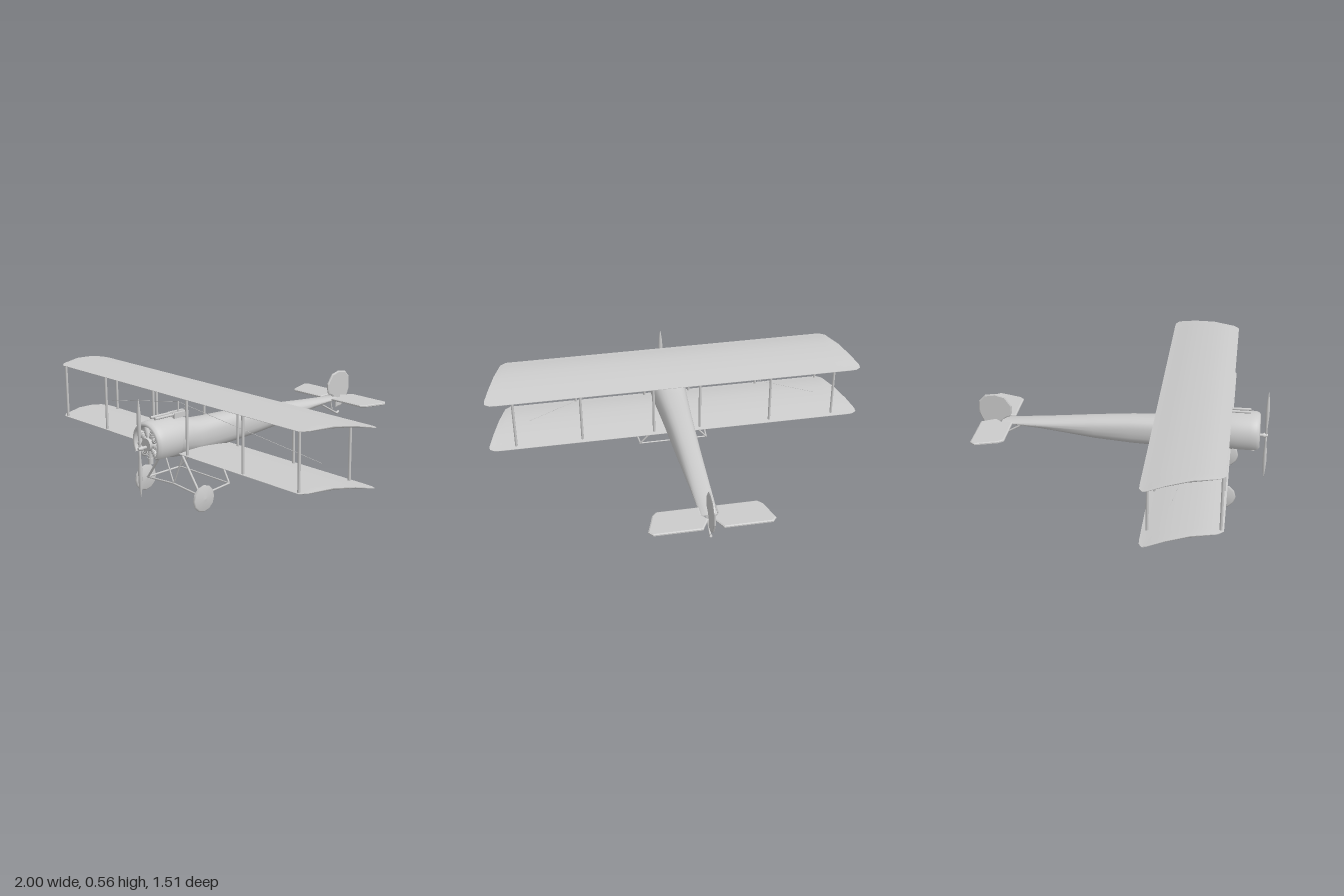
import * as THREE from 'three';
import { toCreasedNormals } from 'three/addons/utils/BufferGeometryUtils.js';

const grey = new THREE.MeshStandardMaterial({ color: 0xcccccc });
const greyThin = new THREE.MeshStandardMaterial({ color: 0xcccccc, side: THREE.DoubleSide });
const V = (x, y, z) => new THREE.Vector3(x, y, z);

export function createModel() {
  const model = new THREE.Group();
  model.name = 'biplane';

  function add(name, geometry, x = 0, y = 0, z = 0, material = grey) {
    const mesh = new THREE.Mesh(geometry, material);
    mesh.name = name;
    mesh.position.set(x, y, z);
    model.add(mesh);
    return mesh;
  }

  // Straight round bar between two points
  function rod(name, a, b, r = 0.006, sides = 8) {
    const dir = b.clone().sub(a);
    const mesh = add(name, new THREE.CylinderGeometry(r, r, dir.length(), sides));
    mesh.position.copy(a).add(b).multiplyScalar(0.5);
    mesh.quaternion.setFromUnitVectors(V(0, 1, 0), dir.normalize());
    return mesh;
  }

  // Skin over equal-sized closed rings, with end caps
  function loft(rings, crease = 0.9) {
    const n = rings[0].length, last = (rings.length - 1) * n, index = [];
    for (let i = 0; i < rings.length - 1; i++) {
      for (let j = 0; j < n; j++) {
        const a = i * n + j, b = i * n + (j + 1) % n;
        index.push(a, b, a + n, b, b + n, a + n);
      }
    }
    for (let j = 1; j < n - 1; j++) index.push(0, j + 1, j, last, last + j, last + j + 1);
    const g = new THREE.BufferGeometry().setFromPoints(rings.flat());
    g.setIndex(index);
    return toCreasedNormals(g, crease);
  }

  // Thin plate from an outline
  function plate(points, thickness) {
    const shape = new THREE.Shape(points.map(([x, y]) => new THREE.Vector2(x, y)));
    const g = new THREE.ExtrudeGeometry(shape, {
      depth: thickness / 2, bevelEnabled: true, bevelThickness: thickness / 4,
      bevelSize: 0.006, bevelOffset: -0.006, bevelSegments: 1,
    });
    return g.translate(0, 0, -thickness / 4);
  }

  // Fuselage: z, bottom, top, half width, flattening at each station
  const stations = [
    [-0.63, 0.313, 0.323, 0.042, 1], [-0.42, 0.291, 0.343, 0.05, 0.9],
    [-0.14, 0.253, 0.370, 0.06, 0.8], [0.05, 0.24, 0.384, 0.068, 0.75],
    [0.2, 0.235, 0.391, 0.075, 0.75], [0.34, 0.232, 0.395, 0.084, 0.75],
    [0.42, 0.23, 0.401, 0.09, 0.8], [0.48, 0.23, 0.42, 0.096, 0.9],
    [0.565, 0.235, 0.433, 0.103, 1], [0.61, 0.253, 0.434, 0.103, 1],
  ];
  add('fuselage', loft(stations.map(([z, lo, hi, w, p]) => {
    const ring = [];
    for (let j = 0; j < 24; j++) {
      const a = j / 24 * Math.PI * 2, c = Math.cos(a), s = Math.sin(a);
      ring.push(V(w * Math.sign(c) * Math.abs(c) ** p,
        (lo + hi) / 2 + (hi - lo) / 2 * Math.sign(s) * Math.abs(s) ** p, z));
    }
    return ring;
  })));

  // Wings: one cambered surface trimmed to a raked tip
  const camber = new THREE.SplineCurve([[0, 0.547], [0.2, 0.557], [0.5, 0.551], [0.75, 0.538], [1, 0.518]]
    .map(([t, y]) => new THREE.Vector2(t, y)));
  const chord = [0, 0.04, 0.1, 0.2, 0.35, 0.5, 0.65, 0.8, 0.92, 1];
  const tip = [[0.87, 0.567, 0.195], [0.9, 0.54, 0.195], [0.94, 0.42, 0.195], [0.975, 0.313, 0.197], [1, 0.235, 0.212]];
  const span = [...tip.map(([x, le, te]) => [-x, le, te]).reverse(), ...tip];
  const wingRings = span.map(([x, le, te]) => {
    const thick = 0.018 * Math.min(1, (le - te) / 0.25);
    const top = [], bottom = [];
    chord.forEach((t) => {
      const z = le + (te - le) * t;
      const y = camber.getPoint((0.567 - z) / 0.372).y;
      top.push(V(x, y, z));
      bottom.push(V(x, y - 0.002 - thick * Math.sqrt(t * (1 - t)) * 1.4, z));
    });
    return [...top.reverse(), ...bottom];
  });
  const wing = loft(wingRings);
  add('upperWing', wing);
  add('lowerWing', wing, 0, -0.28, 0);

  // Wing struts and bracing wires
  for (const s of [-1, 1]) {
    for (const x of [0.125, 0.51, 0.86]) {
      rod('frontWingStrut', V(s * x, 0.265, 0.553), V(s * x, 0.545, 0.553), 0.007);
      rod('rearWingStrut', V(s * x, 0.24, 0.222), V(s * x, 0.52, 0.222), 0.007);
    }
    rod('bracingWire', V(0, 0.5, 0.5), V(s * 0.78, 0.326, 0.316), 0.0012, 4);
  }

  // Cowling: rounded ring, open at the bottom
  const cowlProfile = [[0.104, 0.56], [0.107, 0.6], [0.108, 0.66], [0.106, 0.69], [0.1, 0.705],
    [0.09, 0.711], [0.085, 0.705], [0.088, 0.68], [0.09, 0.6]].map(([r, z]) => new THREE.Vector2(r, z));
  const open = THREE.MathUtils.degToRad(56);
  add('cowling', new THREE.LatheGeometry(cowlProfile, 32, open, Math.PI * 2 - 2 * open).rotateX(Math.PI / 2),
    0, 0.33, 0, greyThin);

  // Radial engine
  add('crankcase', new THREE.CylinderGeometry(0.032, 0.036, 0.09, 16).rotateX(Math.PI / 2), 0, 0.325, 0.66);
  for (let i = 0; i < 9; i++) {
    const a = i / 9 * Math.PI * 2, d = V(Math.sin(a), -Math.cos(a), 0), c = V(0, 0.325, 0.678);
    const at = (r) => c.clone().addScaledVector(d, r);
    const reach = i === 0 ? 0.1 : 0.084;
    rod('engineCylinder', at(0.02), at(reach), 0.013, 10);
    for (const r of [0.045, 0.057, 0.069]) rod('coolingFin', at(r), at(r + 0.004), 0.016, 10);
  }

  // Propeller and hub
  const blade = [[0, 0], [0.007, 0.01], [0.006, 0.04], [0.011, 0.1], [0.012, 0.15], [0.008, 0.2], [0.003, 0.235], [0, 0.245]]
    .map(([r, y]) => new THREE.Vector2(r, y));
  for (const turn of [0, Math.PI]) {
    const mesh = add('propellerBlade', new THREE.LatheGeometry(blade, 10).scale(1, 1, 0.85), 0, 0.313, 0.743);
    mesh.rotation.z = turn;
  }
  add('propellerShaft', new THREE.CylinderGeometry(0.008, 0.008, 0.06, 10).rotateX(Math.PI / 2), 0, 0.313, 0.715);
  add('propellerHub', new THREE.CylinderGeometry(0.007, 0.014, 0.022, 12).rotateX(Math.PI / 2), 0, 0.313, 0.741);

  // Twin guns and sights on the nose deck
  for (const x of [-0.016, 0.016]) {
    rod('gunBarrel', V(x, 0.447, 0.5), V(x, 0.447, 0.66), 0.007);
    add('gunBody', new THREE.BoxGeometry(0.016, 0.026, 0.09), x, 0.44, 0.5);
  }
  rod('cabanePost', V(0, 0.42, 0.5), V(0, 0.503, 0.5), 0.004);
  rod('rearSight', V(0, 0.41, 0.452), V(0, 0.462, 0.456), 0.004);

  // Landing gear
  const wheel = new THREE.LatheGeometry([[0, -0.014], [0.02, -0.012], [0.06, -0.007], [0.068, 0], [0.06, 0.007], [0.02, 0.012], [0, 0.014]]
    .map(([r, y]) => new THREE.Vector2(r, y)), 12).rotateZ(Math.PI / 2);
  for (const s of [-1, 1]) {
    add('wheel', wheel, s * 0.221, 0.069, 0.538);
    rod('axleHalf', V(s * 0.222, 0.074, 0.538), V(0, 0.09, 0.538), 0.005);
    rod('frontGearStrut', V(s * 0.2, 0.077, 0.538), V(s * 0.07, 0.25, 0.538), 0.006);
    rod('rearGearStrut', V(s * 0.185, 0.09, 0.338), V(s * 0.06, 0.245, 0.314), 0.005);
    rod('gearSideBar', V(s * 0.2, 0.078, 0.538), V(s * 0.185, 0.09, 0.338), 0.005);
    rod('gearInnerStrut', V(0, 0.09, 0.538), V(s * 0.07, 0.245, 0.538), 0.004);
  }
  rod('rearCrossBar', V(-0.185, 0.09, 0.338), V(0.185, 0.09, 0.338), 0.004);

  // Tailplane halves, notched beside the rudder
  const half = [[0.05, -0.735], [0.285, -0.735], [0.305, -0.71], [0.268, -0.595], [0.245, -0.57],
    [0.04, -0.57], [0.04, -0.63], [0.012, -0.665]];
  for (const s of [-1, 1]) {
    add('tailplane', plate(half.map(([x, z]) => [s * x, z]), 0.013).rotateX(Math.PI / 2), 0, 0.322, 0);
  }

  // Rudder
  const rudder = [[-0.58, 0.37], [-0.58, 0.4], [-0.615, 0.45], [-0.665, 0.463], [-0.72, 0.455], [-0.753, 0.42],
    [-0.755, 0.355], [-0.73, 0.297], [-0.69, 0.262], [-0.648, 0.257], [-0.643, 0.306], [-0.615, 0.33], [-0.588, 0.342]];
  add('rudder', plate(rudder, 0.012).rotateY(-Math.PI / 2));

  // Tail skid
  rod('tailSkid', V(0, 0.3, -0.52), V(0, 0.22, -0.66), 0.005);
  rod('tailSkidFoot', V(0, 0.22, -0.655), V(0, 0.228, -0.675), 0.007);
  rod('tailSkidBrace', V(0, 0.315, -0.605), V(0, 0.245, -0.62), 0.004);

  return model;
}
